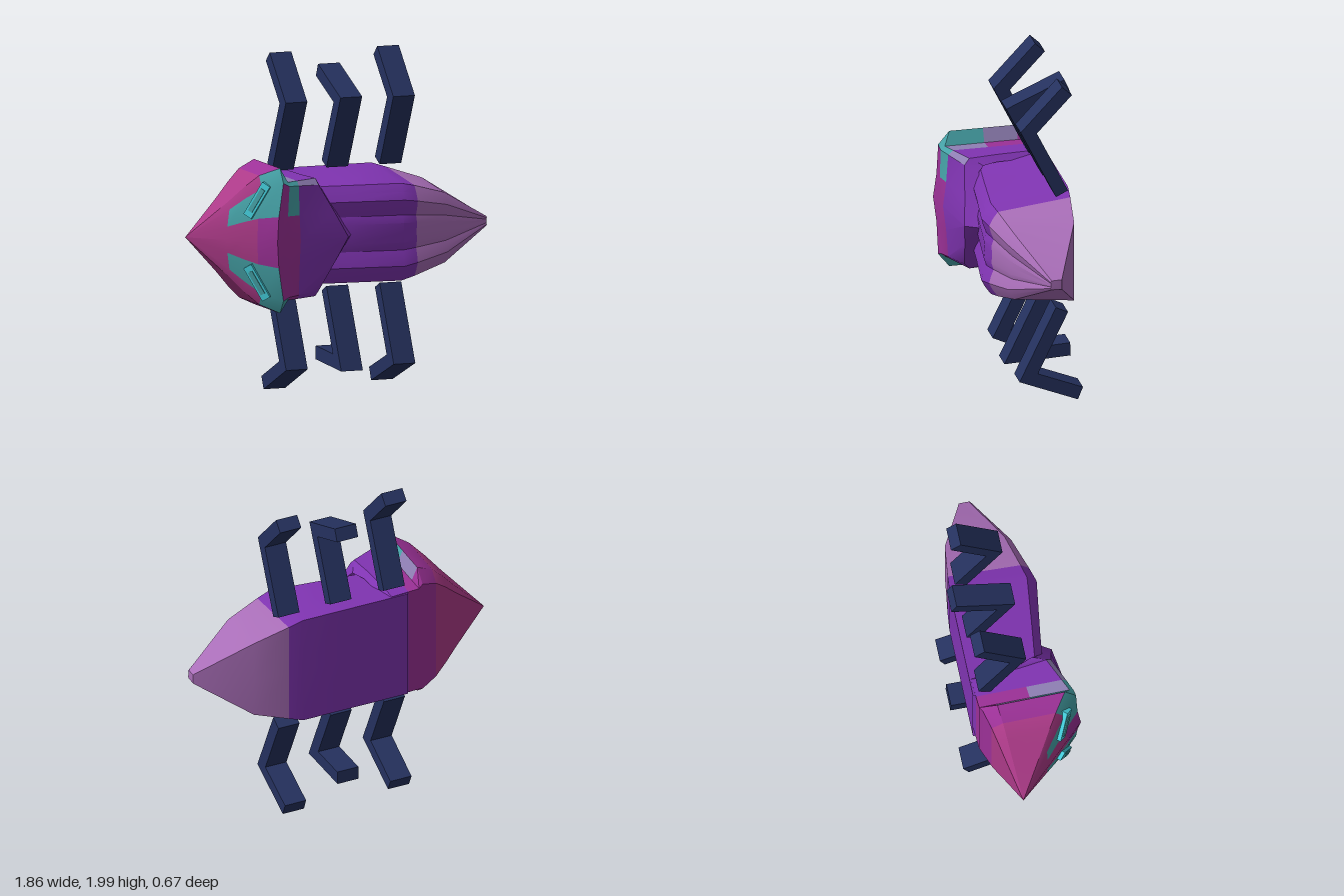
import * as THREE from 'three';
import { toCreasedNormals } from 'three/addons/utils/BufferGeometryUtils.js';

const CY = 0.96; // height of the body axis
const colours = {
  magenta: 0xac3a88, plum: 0x9c3197, purple: 0x8034b2, lavender: 0xa96eb8,
  greyLilac: 0x8f7fb4, teal: 0x46a3a8, cyan: 0x45cfdd, navy: 0x25315e,
};

// Skin over rows of half-section points [x, halfWidth, z], mirrored about the axis.
// pick(row, column, side) names the colour of each cell.
function skin(name, rows, mats, pick) {
  const rings = rows.map(r => [
    ...r.map(([x, h, z]) => [x, CY + h, z]),
    ...r.slice(1, -1).reverse().map(([x, h, z]) => [x, CY - h, z]),
  ]);
  const n = rings[0].length, half = rows[0].length - 1;
  const byColour = {};
  for (let i = 0; i < rings.length - 1; i++) {
    for (let j = 0; j < n; j++) {
      const k = (j + 1) % n;
      const upper = j < half;
      const key = pick(i, upper ? j : n - 1 - j, upper ? 1 : -1);
      const a = rings[i][j], b = rings[i][k], c = rings[i + 1][j], d = rings[i + 1][k];
      (byColour[key] ??= []).push(...a, ...b, ...c, ...b, ...d, ...c);
    }
  }
  const geo = new THREE.BufferGeometry(), pos = [], used = [];
  for (const [key, list] of Object.entries(byColour)) {
    geo.addGroup(pos.length / 3, list.length / 3, used.length);
    used.push(mats[key]);
    for (const v of list) pos.push(v);
  }
  geo.setAttribute('position', new THREE.Float32BufferAttribute(pos, 3));
  const mesh = new THREE.Mesh(toCreasedNormals(geo, 0.45), used);
  mesh.name = name;
  return mesh;
}

// Bent flat leg: a mitred strip through three [z, y] points, extruded along x
function leg(name, x, path, mat) {
  const w = 0.04, width = 0.135;
  const p = path.map(([z, y]) => new THREE.Vector2(-z, y));
  const normal = (a, b) => { const d = b.clone().sub(a).normalize(); return new THREE.Vector2(-d.y, d.x); };
  const n1 = normal(p[0], p[1]), n2 = normal(p[1], p[2]);
  const mitre = n1.clone().add(n2).normalize();
  mitre.multiplyScalar(1 / mitre.dot(n1));
  const offs = [n1, mitre, n2];
  const side = s => p.map((q, i) => q.clone().addScaledVector(offs[i], s * w));
  const geo = new THREE.ExtrudeGeometry(new THREE.Shape([...side(-1), ...side(1).reverse()]),
    { depth: width, bevelEnabled: false });
  geo.translate(0, 0, -width / 2).rotateY(Math.PI / 2);
  const mesh = new THREE.Mesh(geo, mat);
  mesh.position.x = x;
  mesh.name = name;
  return mesh;
}

export function createModel() {
  const model = new THREE.Group();
  model.name = 'beetle';
  const mats = {};
  for (const [name, color] of Object.entries(colours)) {
    mats[name] = new THREE.MeshStandardMaterial({ color, side: THREE.DoubleSide });
    mats[name].name = name;
  }

  // Head: cone from a pointed snout to the flared collar
  const collar = [
    [-0.47, 0, -0.235], [-0.47, 0.36, -0.235], [-0.475, 0.425, -0.15], [-0.475, 0.425, 0.05],
    [-0.475, 0.425, 0.25], [-0.48, 0.345, 0.315], [-0.51, 0.15, 0.318], [-0.525, 0, 0.335],
  ];
  const headRows = [[0, 0], [0.45, 0.51], [0.62, 0.72], [0.78, 0.89], [1, 1]].map(([t, f]) =>
    collar.map(([x, h, z]) => [-0.93 + (x + 0.93) * t, h * f, -0.09 + (z + 0.09) * t]));
  model.add(skin('head', headRows, mats, (i, j) => {
    if ((j === 5 && i >= 1) || (j === 4 && i >= 3)) return 'teal';
    return i < 3 ? 'magenta' : 'plum';
  }));

  // Neck shield: steps in behind the collar, ends in a V with a turned-down rim
  const front = [
    [-0.44, 0, -0.25], [-0.44, 0.346, -0.25], [-0.44, 0.346, -0.15], [-0.44, 0.346, 0.05],
    [-0.44, 0.346, 0.285], [-0.44, 0.325, 0.31], [-0.45, 0.15, 0.312], [-0.46, 0, 0.327],
  ];
  const back = [
    [-0.24, 0, -0.262], [-0.26, 0.346, -0.262], [-0.26, 0.346, -0.15], [-0.25, 0.346, 0.03],
    [-0.23, 0.346, 0.19], [-0.22, 0.31, 0.22], [-0.13, 0.15, 0.24], [-0.05, 0, 0.26],
  ];
  const middle = front.map(([x, h, z], j) => {
    const mx = -0.37, t = (mx - x) / (back[j][0] - x);
    return [mx, h + (back[j][1] - h) * t, z + (back[j][2] - z) * t];
  });
  const rim = back.map(([x, h, z], j) =>
    [x + (j > 3 ? 0.045 : 0.03), h * 0.9, j < 2 ? z + 0.01 : j < 4 ? z : z - 0.075]);
  model.add(skin('neckShield', [collar, front, middle, back, rim], mats, (i, j, s) => {
    if (i === 0) return j === 3 || j === 4 ? 'teal' : j === 2 ? 'greyLilac' : 'plum';
    if (i === 1) {
      if (s > 0 && (j === 4 || j === 5)) return 'teal';
      return s > 0 && j === 3 ? 'greyLilac' : 'plum';
    }
    return i === 2 && s > 0 && j === 4 ? 'greyLilac' : 'purple';
  }));

  // Abdomen: rippled back, flat belly, pinched to a point at the tail
  const abdomen = (x, h, hc, zb, zc, rise) => [
    [x, 0, zb], [x, h, zb], [x, hc, zc],
    ...[[0.84, 0.55], [0.68, 0.95], [0.52, 0.75], [0.36, 0.45], [0.2, 0.7], [0, 0.6]]
      .map(([f, r]) => [x, hc * f, zc + rise * r]),
  ];
  const abdomenRows = [
    abdomen(-0.36, 0.344, 0.285, -0.27, 0.11, 0.05),
    abdomen(0, 0.344, 0.285, -0.27, 0.155, 0.05),
    abdomen(0.31, 0.344, 0.285, -0.27, 0.19, 0.06),
    abdomen(0.4, 0.315, 0.265, -0.262, 0.17, 0.055),
    abdomen(0.61, 0.245, 0.205, -0.235, 0.12, 0.04),
    abdomen(0.93, 0.03, 0.028, -0.085, -0.025, 0.008),
    abdomen(0.931, 0, 0, -0.055, -0.055, 0),
  ];
  model.add(skin('abdomen', abdomenRows, mats, i => (i < 3 ? 'purple' : 'lavender')));

  // Slit eyes lying on the sloping face
  for (const s of [1, -1]) {
    const eye = new THREE.Group();
    eye.name = s > 0 ? 'upperEye' : 'lowerEye';
    const n = new THREE.Vector3(-0.9, 0.13 * s, 1).normalize();
    const along = new THREE.Vector3(0.13, 0.16 * s, 0).projectOnPlane(n).normalize();
    const across = new THREE.Vector3().crossVectors(n, along);
    eye.setRotationFromMatrix(new THREE.Matrix4().makeBasis(along, across, n));
    eye.position.set(-0.6, CY + 0.24 * s, 0.215);
    const plate = new THREE.Mesh(new THREE.BoxGeometry(0.22, 0.055, 0.04), mats.cyan);
    plate.name = 'eyePlate';
    const slit = new THREE.Mesh(new THREE.BoxGeometry(0.15, 0.028, 0.009), mats.teal);
    slit.name = 'eyeSlit';
    slit.position.z = 0.022;
    eye.add(plate, slit);
    model.add(eye);
  }

  // Three pairs of legs; the middle pair folds back further
  [['front', -0.288], ['middle', 0.053], ['rear', 0.386]].forEach(([name, x], i) => {
    const mid = i === 1;
    model.add(leg(name + 'UpperLeg', x,
      [[-0.2, 1.325], [-0.002, 1.725], mid ? [-0.31, 1.86] : [-0.23, 1.967]], mats.navy));
    model.add(leg(name + 'LowerLeg', x,
      [[-0.2, 0.595], [-0.002, 0.185], mid ? [-0.33, 0.2] : [-0.31, i ? 0.06 : 0.045]], mats.navy));
  });
  return model;
}
